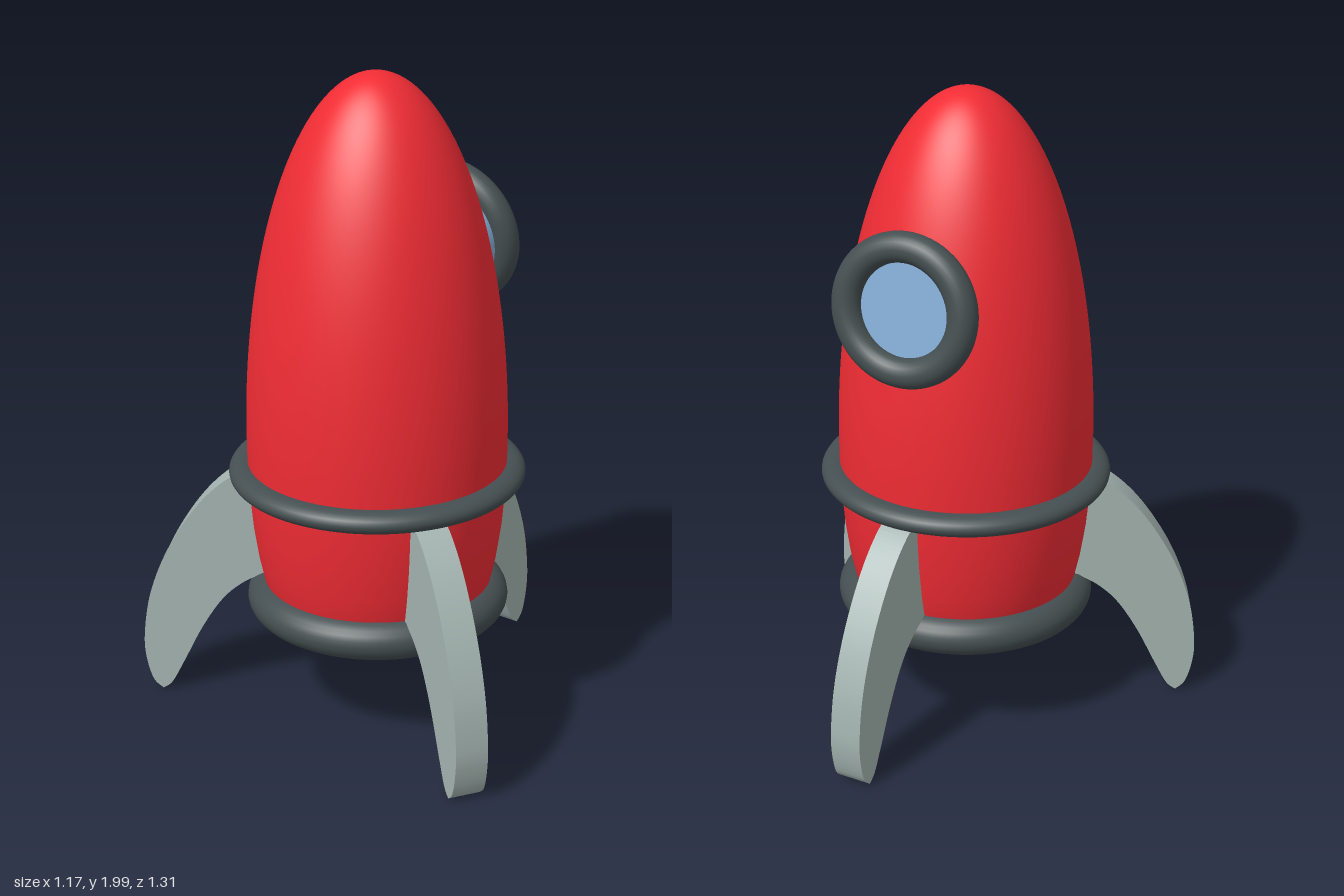
import * as THREE from 'three';
import { toCreasedNormals } from 'three/addons/utils/BufferGeometryUtils.js';

const V = (x, y) => new THREE.Vector2(x, y);
const paint = (color, side = THREE.FrontSide) => new THREE.MeshStandardMaterial({ color, side });

function add(parent, name, geometry, material) {
  const mesh = new THREE.Mesh(geometry, material);
  mesh.name = name;
  parent.add(mesh);
  return mesh;
}

// Horizontal ring with an oval section
function ringGeometry(radius, radial, vertical, y) {
  return new THREE.TorusGeometry(radius, radial, 24, 96)
    .rotateX(Math.PI / 2).scale(1, vertical / radial, 1).translate(0, y, 0);
}

// Swept fin, drawn outwards along +x from the rocket axis
function finGeometry() {
  const shape = new THREE.Shape();
  shape.moveTo(0.12, 0.42);
  shape.lineTo(0.345, 0.425);
  shape.splineThru([V(0.41, 0.39), V(0.475, 0.33), V(0.54, 0.23), V(0.60, 0.11),
    V(0.64, 0.035), V(0.67, 0.01)]);
  shape.splineThru([V(0.70, 0.04), V(0.72, 0.11), V(0.724, 0.19), V(0.705, 0.32), V(0.66, 0.45),
    V(0.595, 0.57), V(0.52, 0.67), V(0.44, 0.74), V(0.37, 0.77)]);
  shape.lineTo(0.3, 0.77);
  shape.lineTo(0.12, 0.5);
  const geometry = new THREE.ExtrudeGeometry(shape, { depth: 0.1, bevelEnabled: false, curveSegments: 40 });
  return toCreasedNormals(geometry.translate(0, 0, -0.05), 0.6);
}

export function createModel() {
  const model = new THREE.Group();
  model.name = 'rocket';
  const rocket = new THREE.Group();
  rocket.name = 'rocketBody';
  rocket.position.x = -0.14;
  model.add(rocket);

  const red = paint(0xf02c34, THREE.DoubleSide);
  const dark = paint(0x454f51);
  const grey = paint(0xa4b4b0);
  const blue = paint(0x86b0d8);

  // Hollow hull: tapered tail below, elliptical nose above
  const profile = [V(0.325, 0.37), V(0.345, 0.43), V(0.36, 0.5), V(0.375, 0.6), V(0.384, 0.7), V(0.389, 0.8)];
  for (let i = 0; i <= 40; i++) {
    const a = (i / 40) * Math.PI / 2;
    profile.push(V(i === 40 ? 0 : 0.39 * Math.cos(a), 0.9 + 1.1 * Math.sin(a)));
  }
  add(rocket, 'hull', new THREE.LatheGeometry(profile, 96), red);

  // Belt and nozzle rings
  add(rocket, 'beltRing', ringGeometry(0.395, 0.05, 0.034, 0.777), dark);
  add(rocket, 'nozzleRing', ringGeometry(0.32, 0.076, 0.064, 0.368), dark);

  // Three fins around the tail
  const fin = finGeometry();
  for (let i = 0; i < 3; i++) {
    add(rocket, `fin${i + 1}`, fin, grey).rotation.y = (i * Math.PI * 2) / 3;
  }

  // Porthole, its local z pointing out of the hull
  const porthole = new THREE.Group();
  porthole.name = 'porthole';
  porthole.position.set(0.365, 1.43, 0);
  porthole.quaternion.setFromUnitVectors(
    new THREE.Vector3(0, 0, 1), new THREE.Vector3(1, 0.12, -0.05).normalize());
  rocket.add(porthole);
  add(porthole, 'portholeRim', new THREE.TorusGeometry(0.188, 0.046, 24, 72), dark);
  add(porthole, 'portholeGlass',
    new THREE.CylinderGeometry(0.185, 0.185, 0.12, 72).rotateX(Math.PI / 2).translate(0, 0, -0.06), blue);

  return model;
}
